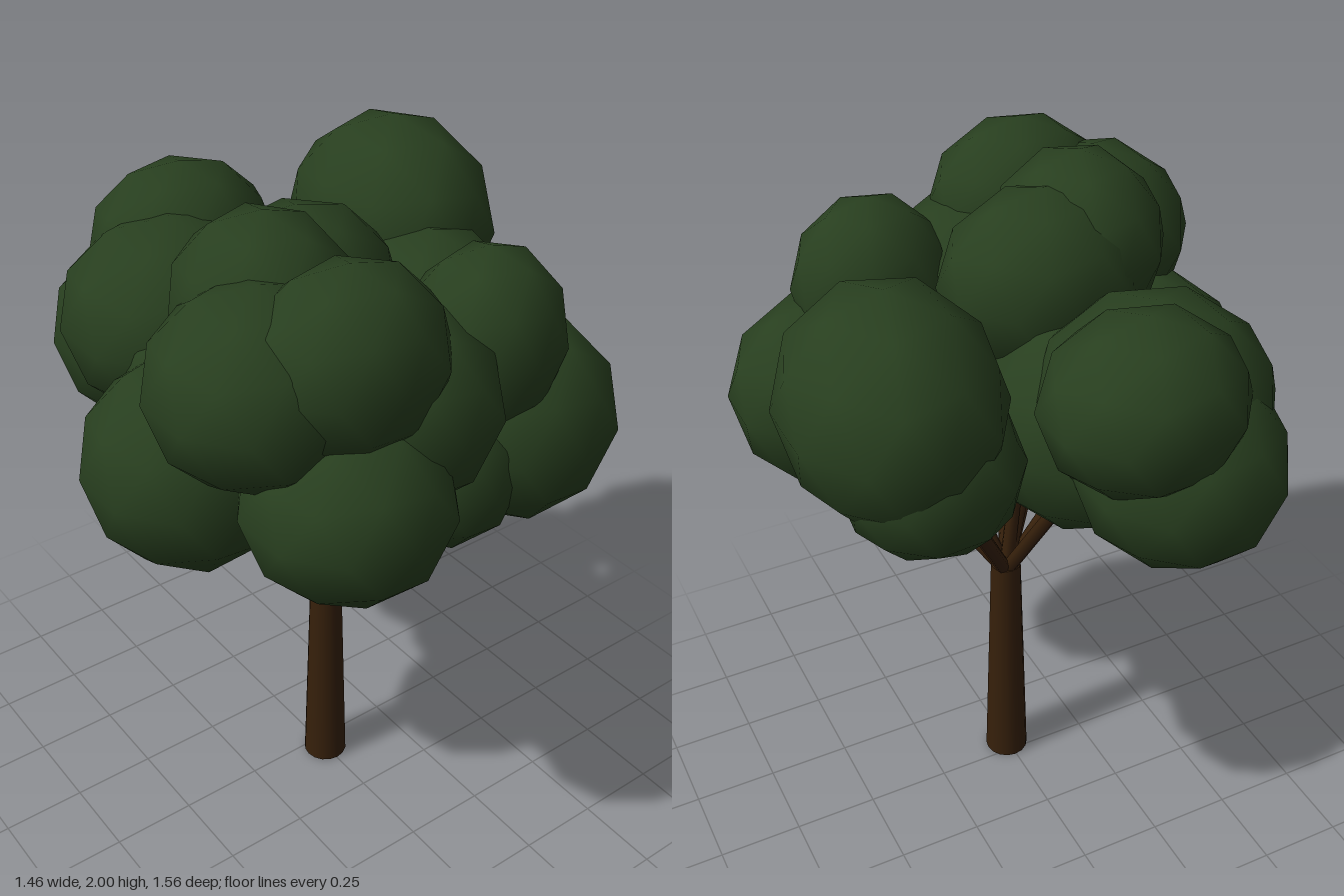
import * as THREE from 'three';

const bark = new THREE.MeshStandardMaterial({ color: 0x36200b });
bark.name = 'dark brown bark';
const leaf = new THREE.MeshStandardMaterial({ color: 0x283f1f });
leaf.name = 'deep green leaves';

// Leaf clumps carried by a branch: centre x, y, z, then radii x, y, z
const BRANCHED = [
  // left side (+x)
  [[0.455, 1.645, -0.26], [0.285, 0.31, 0.33]],
  [[0.40, 1.50, -0.36], [0.24, 0.23, 0.225]],
  [[0.355, 1.475, 0.045], [0.27, 0.27, 0.27]],
  [[0.24, 1.605, 0.395], [0.23, 0.26, 0.21]],
  [[0.39, 1.31, 0.385], [0.295, 0.295, 0.27]],
  // back
  [[-0.105, 1.63, -0.505], [0.275, 0.24, 0.25]],
  // right side (-x)
  [[-0.455, 1.32, 0.06], [0.29, 0.30, 0.29]],
  [[-0.41, 1.655, 0.32], [0.285, 0.265, 0.28]],
  // front
  [[-0.245, 1.73, 0.455], [0.27, 0.25, 0.225]],
  [[-0.275, 1.37, 0.50], [0.28, 0.265, 0.28]],
  [[-0.11, 1.205, 0.29], [0.29, 0.29, 0.28]],
  [[0.14, 1.25, 0.35], [0.23, 0.25, 0.25]],
  // crown
  [[-0.265, 1.74, 0.14], [0.24, 0.26, 0.26]],
  [[-0.12, 1.69, 0.07], [0.29, 0.26, 0.245]],
];

// Clumps filling the gaps, without a branch of their own
const FILLERS = [
  [[-0.235, 1.40, -0.485], [0.285, 0.28, 0.295]],
  [[-0.235, 1.51, -0.345], [0.325, 0.29, 0.32]],
  [[-0.18, 1.37, -0.145], [0.35, 0.33, 0.34]],
  [[-0.07, 1.53, 0.41], [0.29, 0.27, 0.285]],
];

const FOOT = new THREE.Vector3(0.003, 0, 0.04);
const FORK = new THREE.Vector3(0.003, 0.74, 0.04);
const TOP = new THREE.Vector3(0.003, 0.77, 0.04);

// Round bar running from one point to another, tapering to the tip
function bar(from, to, r0, r1, sides) {
  const dir = to.clone().sub(from);
  const mesh = new THREE.Mesh(new THREE.CylinderGeometry(r1, r0, dir.length(), sides), bark);
  mesh.position.copy(from).addScaledVector(dir, 0.5);
  mesh.quaternion.setFromUnitVectors(new THREE.Vector3(0, 1, 0), dir.normalize());
  return mesh;
}

export function createModel() {
  const tree = new THREE.Group();
  tree.name = 'tree';

  // Trunk
  const trunk = bar(FOOT, TOP, 0.067, 0.045, 16);
  trunk.name = 'trunk';
  tree.add(trunk);

  // Faceted ball standing on one of its corners, with smooth normals
  const ball = new THREE.IcosahedronGeometry(1, 1);
  ball.rotateZ(-Math.atan(2 / (1 + Math.sqrt(5))));

  const branches = new THREE.Group();
  branches.name = 'branches';
  const foliage = new THREE.Group();
  foliage.name = 'foliage';
  tree.add(branches, foliage);

  // Leaf clumps
  [...BRANCHED, ...FILLERS].forEach(([centre, radii], i) => {
    const clump = new THREE.Mesh(ball, leaf);
    clump.name = `leafClump${i + 1}`;
    clump.position.set(...centre);
    clump.scale.set(...radii);
    foliage.add(clump);
  });

  // Branches fanning out from the fork
  BRANCHED.forEach(([centre], i) => {
    const branch = bar(FORK, new THREE.Vector3(...centre), 0.022, 0.017, 8);
    branch.name = `branch${i + 1}`;
    branches.add(branch);
  });

  return tree;
}
